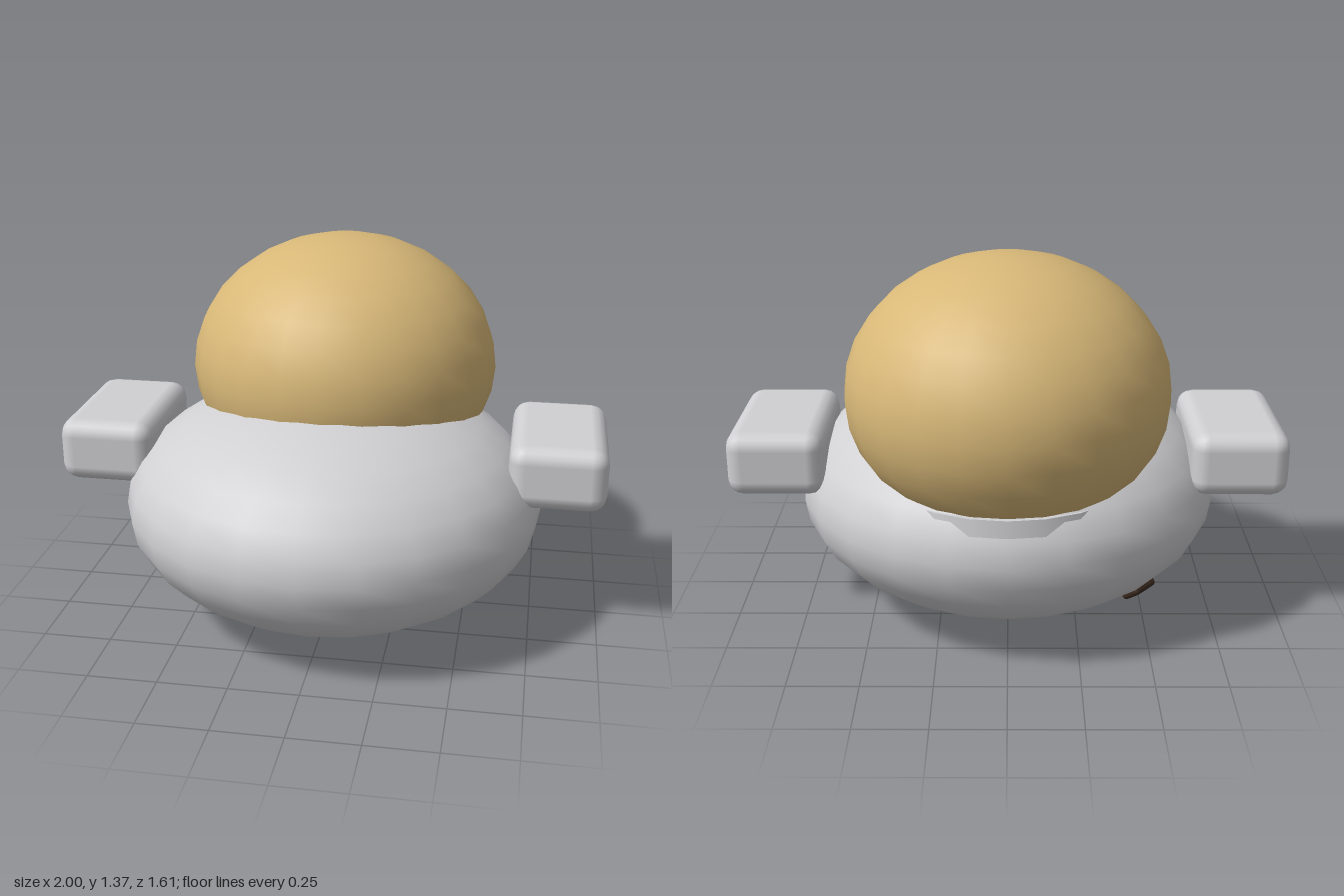
import * as THREE from 'three';
import { RoundedBoxGeometry } from 'three/addons/geometries/RoundedBoxGeometry.js';

function material(name, color) {
  const m = new THREE.MeshStandardMaterial({ color });
  m.name = name;
  return m;
}

export function createModel() {
  const model = new THREE.Group();
  model.name = 'model';
  const grey = material('lightGrey', 0xd0d0d3);
  const tan = material('tan', 0xd8b878);
  const brown = material('darkBrown', 0x3a2a20);

  function add(name, geometry, mat, x, y, z) {
    const mesh = new THREE.Mesh(geometry, mat);
    mesh.name = name;
    mesh.position.set(x, y, z);
    model.add(mesh);
    return mesh;
  }

  // Flattened hull and the dome sunk into its top, set towards the back
  const hull = add('hull', new THREE.SphereGeometry(1, 24, 16), grey, 0, 0.43, 0.03);
  hull.scale.set(0.772, 0.43, 0.772);
  const dome = add('dome', new THREE.SphereGeometry(1, 24, 16), tan, 0, 0.88, -0.23);
  dome.scale.set(0.574, 0.486, 0.574);

  // Seat ring under the dome, showing only as a narrow ledge at the back
  add('domeRim', new THREE.CylinderGeometry(0.48, 0.49, 0.1, 24), grey, 0, 0.545, -0.23);

  // Rounded side pods
  for (const side of [1, -1]) {
    add(side > 0 ? 'leftPod' : 'rightPod',
      new RoundedBoxGeometry(0.35, 0.235, 0.56, 2, 0.06), grey, side * 0.825, 0.617, -0.043);
  }

  // Small vent low on the back right of the hull, turned to follow its surface
  const vent = add('vent', new RoundedBoxGeometry(0.12, 0.08, 0.04, 2, 0.015), brown, -0.47, 0.17, -0.36);
  const normal = new THREE.Vector3(-0.47 / 0.596, -0.26 / 0.185, -0.39 / 0.596);
  vent.lookAt(vent.position.clone().add(normal));

  return model;
}
